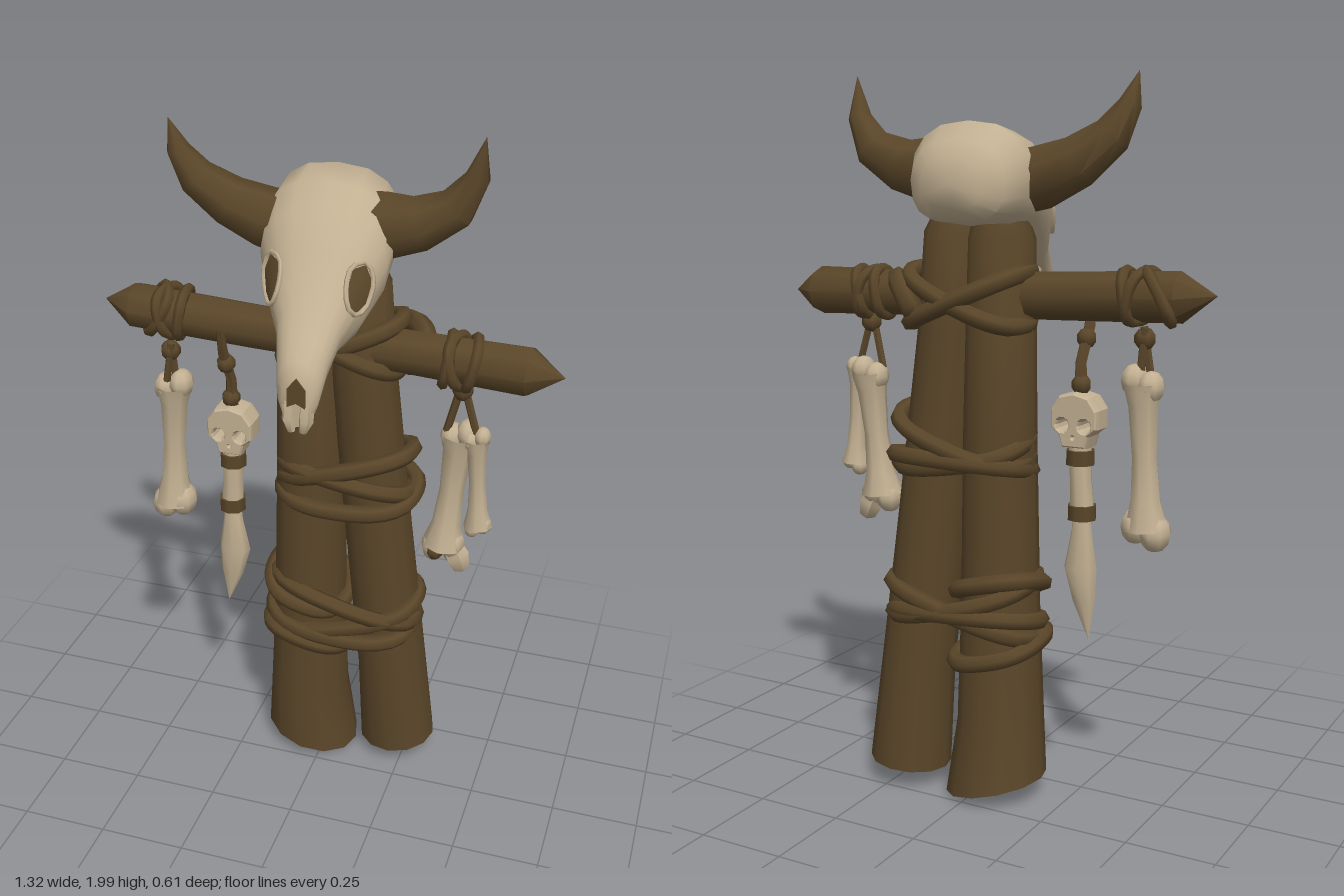
import * as THREE from 'three';
import { toCreasedNormals } from 'three/addons/utils/BufferGeometryUtils.js';

const wood = new THREE.MeshStandardMaterial({ color: 0x5a4629 });
wood.name = 'dark wood';
const bone = new THREE.MeshStandardMaterial({ color: 0xc2b092 });
bone.name = 'old bone';

const vec = (p) => new THREE.Vector3(...p);

function add(parent, name, geometry, material) {
  const mesh = new THREE.Mesh(geometry, material);
  mesh.name = name;
  parent.add(mesh);
  return mesh;
}

// Skin a list of equal-length rings of points
function loft(rings, crease = 0.9) {
  const n = rings[0].length, index = [];
  for (let i = 0; i < rings.length - 1; i++) {
    for (let j = 0; j < n; j++) {
      const a = i * n + j, b = i * n + (j + 1) % n;
      index.push(a, b, a + n, b, b + n, a + n);
    }
  }
  const g = new THREE.BufferGeometry().setFromPoints(rings.flat());
  g.setIndex(index);
  return toCreasedNormals(g, crease);
}

// Limb through [x, y, z, radius] stations
function limb(stations, sides = 10, crease = 0.9) {
  const pts = stations.map((s) => vec(s.slice(0, 3)));
  return loft(pts.map((p, i) => {
    const t = pts[Math.min(i + 1, pts.length - 1)].clone().sub(pts[Math.max(i - 1, 0)]).normalize();
    const u = new THREE.Vector3(0, 0, 1).cross(t).normalize();
    const v = t.clone().cross(u);
    return Array.from({ length: sides }, (_, k) => {
      const a = k / sides * Math.PI * 2, r = stations[i][3];
      return p.clone().addScaledVector(u, r * Math.cos(a)).addScaledVector(v, r * Math.sin(a));
    });
  }), crease);
}

const soft = (v, e) => Math.sign(v) * Math.abs(v) ** e;

// Closed rope loop spanned by two half-axes
function ropeLoop(parent, name, center, u, v, r = 0.025) {
  const pts = Array.from({ length: 16 }, (_, k) => {
    const a = k / 16 * Math.PI * 2;
    return vec(center).addScaledVector(vec(u), soft(Math.cos(a), 0.8)).addScaledVector(vec(v), soft(Math.sin(a), 0.8));
  });
  add(parent, name, new THREE.TubeGeometry(new THREE.CatmullRomCurve3(pts, true), 32, r, 6, true), wood);
}

// Long bone with two knuckles at each end
function longBone(parent, name, top, bottom, r, topKnob, bottomKnob) {
  const g = new THREE.Group();
  g.name = name;
  const a = vec(top), b = vec(bottom);
  const at = (t, k) => [...a.clone().lerp(b, t).toArray(), r * k];
  add(g, 'shaft', limb([at(0, 1.5), at(0.15, 1.15), at(0.5, 0.95), at(0.8, 1.15), at(1, 1.7)], 8, 2), bone);
  for (const [p, knob] of [[a, topKnob], [b, bottomKnob]]) {
    for (const s of [-1, 1]) {
      const k = add(g, 'knuckle', new THREE.SphereGeometry(knob, 8, 6), bone);
      k.position.copy(p).add(vec([s * knob * 0.65, s * 0.008, 0]));
      k.scale.set(1, 1.2, 1.2);
    }
  }
  parent.add(g);
}

// Skull sections: z, top y, bottom y, half width
const SECTIONS = [
  [-0.305, 1.7, 1.7, 0], [-0.295, 1.77, 1.64, 0.09], [-0.26, 1.815, 1.605, 0.14],
  [-0.19, 1.862, 1.595, 0.175], [-0.08, 1.845, 1.58, 0.182], [-0.01, 1.8, 1.52, 0.172],
  [0.07, 1.71, 1.47, 0.13], [0.16, 1.595, 1.46, 0.085], [0.225, 1.535, 1.41, 0.068],
  [0.272, 1.495, 1.345, 0.056], [0.292, 1.465, 1.325, 0.038], [0.294, 1.4, 1.4, 0],
];

// Rounded above, boxier below
function skullPoint(z, angle, grow = 1) {
  let i = 0;
  while (i < SECTIONS.length - 2 && SECTIONS[i + 1][0] < z) i++;
  const A = SECTIONS[i], B = SECTIONS[i + 1], t = (z - A[0]) / (B[0] - A[0]);
  const [, hi, lo, w] = A.map((q, k) => q + (B[k] - q) * t);
  const s = Math.sin(angle);
  return new THREE.Vector3(
    0.018 + z * 0.085 + w * grow * soft(Math.cos(angle), s < 0 ? 0.55 : 0.78),
    (hi + lo) / 2 + (hi - lo) / 2 * grow * (s < 0 ? soft(s, 0.8) : s), z);
}

function makeSkull() {
  const g = new THREE.Group();
  g.name = 'hornedSkull';
  const ring = (z) => Array.from({ length: 16 }, (_, k) => skullPoint(z, k / 16 * Math.PI * 2));
  add(g, 'cranium', loft(SECTIONS.map((s) => ring(s[0])), 0.8), bone);

  // Eye sockets follow the surface of the skull, with a low rim
  for (const base of [0.42, Math.PI - 0.42]) {
    const hex = (k) => Array.from({ length: 7 }, (_, j) => {
      const a = -j / 7 * Math.PI * 2;
      return skullPoint(0.085 + 0.038 * k * Math.cos(a), base + 0.42 * k * Math.sin(a), 1.055);
    });
    add(g, 'eyeSocket', loft([hex(1), hex(0.55), hex(0)], 2), wood);
    add(g, 'eyeRim', new THREE.TubeGeometry(new THREE.CatmullRomCurve3(hex(1.1), true), 14, 0.007, 5, true), bone);
  }

  // Nose opening
  const nose = new THREE.Shape([[0, 0.05], [0.024, 0.02], [0.024, -0.03], [0, -0.018], [-0.024, -0.03], [-0.024, 0.02]]
    .map((p) => new THREE.Vector2(...p)));
  add(g, 'noseOpening', new THREE.ExtrudeGeometry(nose, { depth: 0.006, bevelEnabled: false }), wood).position.set(0.044, 1.41, 0.292);

  // Muzzle prongs and cheek teeth
  for (const s of [-1, 1]) {
    const x = 0.044 + s * 0.022;
    add(g, 'muzzleProng', limb([[x, 1.4, 0.272, 0.022], [x, 1.34, 0.285, 0.02], [x - s * 0.006, 1.31, 0.29, 0.01], [x, 1.305, 0.29, 0]], 6), bone);
    const tooth = add(g, 'cheekTeeth', new THREE.BoxGeometry(0.022, 0.08, 0.06), bone);
    tooth.position.set(0.032 + s * 0.045, 1.475, 0.15);
    tooth.rotation.x = 0.3;
  }

  // Horns
  add(g, 'hornLeft', limb([[0.1, 1.73, -0.11, 0.09], [0.17, 1.735, -0.11, 0.088], [0.25, 1.747, -0.115, 0.073],
    [0.34, 1.795, -0.122, 0.056], [0.39, 1.88, -0.115, 0.033], [0.41, 1.99, -0.095, 0]], 7, 1), wood);
  add(g, 'hornRight', limb([[-0.1, 1.71, -0.1, 0.09], [-0.17, 1.72, -0.1, 0.085], [-0.27, 1.76, -0.09, 0.07],
    [-0.355, 1.825, -0.07, 0.053], [-0.395, 1.9, -0.055, 0.032], [-0.412, 1.985, -0.04, 0]], 7, 1), wood);
  return g;
}

// Hanging dagger with a small pierced skull
function makeDagger() {
  const g = new THREE.Group();
  g.name = 'skullDagger';
  const head = new THREE.Shape([[-0.03, -0.065], [0.03, -0.065], [0.038, -0.035], [0.062, -0.015], [0.062, 0.03], [0.04, 0.062],
    [0, 0.072], [-0.04, 0.062], [-0.062, 0.03], [-0.062, -0.015], [-0.038, -0.035]].map((p) => new THREE.Vector2(...p)));
  for (const s of [-1, 1]) head.holes.push(new THREE.Path().absarc(s * 0.032, -0.01, 0.023, 0, Math.PI * 2, true));
  head.holes.push(new THREE.Path().absarc(0, -0.042, 0.008, 0, Math.PI * 2, true));
  add(g, 'smallSkull', new THREE.ExtrudeGeometry(head, { depth: 0.045, curveSegments: 5, bevelSize: 0.006, bevelThickness: 0.02, bevelSegments: 2 }), bone)
    .position.set(-0.278, 1.085, -0.115);
  add(g, 'handle', limb([[-0.28, 1.03, -0.09, 0.033], [-0.283, 0.92, -0.09, 0.031], [-0.288, 0.82, -0.09, 0.035]], 8), bone);
  for (const [x, y] of [[-0.281, 0.985], [-0.287, 0.835]]) {
    const band = add(g, 'handleBand', new THREE.CylinderGeometry(0.04, 0.04, 0.04, 8), wood);
    band.position.set(x, y, -0.09);
  }
  const blade = add(g, 'blade', limb([[-0.287, 0.83, 0, 0.026], [-0.287, 0.78, 0, 0.03], [-0.284, 0.68, 0, 0.048],
    [-0.295, 0.59, 0, 0.034], [-0.31, 0.48, 0, 0]], 8), bone);
  blade.scale.z = 0.6;
  blade.position.z = -0.09;
  add(g, 'cord', limb([[-0.285, 1.41, -0.03, 0.012], [-0.285, 1.33, -0.05, 0.016], [-0.28, 1.24, -0.09, 0.016], [-0.28, 1.14, -0.09, 0.02]], 6), wood);
  for (const y of [1.3, 1.18]) {
    const knot = add(g, 'knot', new THREE.SphereGeometry(0.028, 7, 5), wood);
    knot.position.set(-0.282, y, y > 1.2 ? -0.06 : -0.09);
  }
  return g;
}

export function createModel() {
  const root = new THREE.Group();
  root.name = 'skullTotem';

  // Two leaning posts with slanted, flared feet
  const postRight = add(root, 'postRight', limb([[-0.05, 0.035, -0.138, 0], [-0.05, 0.04, -0.138, 0.142], [-0.058, 0.22, -0.125, 0.122],
    [-0.05, 0.55, -0.112, 0.11], [-0.045, 1, -0.105, 0.102], [-0.047, 1.56, -0.1, 0.092], [-0.047, 1.62, -0.1, 0.07], [-0.047, 1.63, -0.1, 0]], 12), wood);
  const foot = postRight.geometry.attributes.position;
  for (let i = 0; i < foot.count; i++) {
    if (foot.getY(i) < 0.1) foot.setY(i, Math.max(0, 0.035 - (foot.getX(i) + 0.05) * 0.24));
  }
  add(root, 'postLeft', limb([[0.222, 0.055, -0.158, 0], [0.222, 0.057, -0.158, 0.116], [0.2, 0.35, -0.145, 0.105],
    [0.155, 0.8, -0.125, 0.099], [0.11, 1.3, -0.1, 0.093], [0.092, 1.57, -0.1, 0.088], [0.09, 1.63, -0.1, 0.06], [0.09, 1.64, -0.1, 0]], 12), wood);

  // Crossbar with pointed ends
  add(root, 'crossbar', limb([[-0.66, 1.43, -0.105, 0], [-0.565, 1.423, -0.103, 0.066], [-0.2, 1.41, -0.09, 0.064],
    [0.2, 1.4, -0.08, 0.062], [0.565, 1.393, -0.065, 0.068], [0.66, 1.39, -0.06, 0]], 8, 0.8), wood);

  // Lashings round the posts: center, half-axes
  const lashings = [
    [[0.06, 1.02, -0.12], [0.185, 0.06, 0], [0, 0.02, 0.125]],
    [[0.065, 0.945, -0.12], [0.195, 0.005, 0], [0, -0.025, 0.132]],
    [[0.06, 0.98, -0.12], [0.185, -0.03, 0], [0, 0.03, 0.122]],
    [[0.06, 0.57, -0.125], [0.21, -0.055, 0], [0, 0.025, 0.13]],
    [[0.06, 0.53, -0.125], [0.215, 0.06, 0], [0, -0.02, 0.128]],
    [[0.05, 0.51, -0.125], [0.215, -0.01, 0], [0, -0.03, 0.134]],
    [[-0.05, 0.43, -0.115], [0.12, -0.03, 0], [0, 0.02, 0.117]],
    [[-0.05, 0.6, -0.115], [0.115, -0.03, 0], [0, -0.03, 0.112]],
    [[0.04, 1.4, -0.12], [0.165, 0.07, 0], [0, 0.01, 0.12]],
    [[0.04, 1.4, -0.12], [0.165, -0.07, 0], [0, 0.01, 0.125]],
  ];
  for (const [c, u, v] of lashings) ropeLoop(root, 'postLashing', c, u, v);

  // Loops round the crossbar: x, sideways slant
  for (const [x, slant] of [[-0.5, 0.035], [-0.455, -0.015], [-0.42, 0.01], [0.345, 0.01], [0.38, -0.015], [0.41, 0.015]]) {
    ropeLoop(root, 'barLashing', [x, 1.41 - (x + 0.1) * 0.03, -0.085 + x * 0.035], [slant, 0, 0.066], [slant, 0.064, 0], 0.016);
  }
  ropeLoop(root, 'barLashing', [0.22, 1.395, -0.15], [0.05, 0, 0.08], [0.03, 0.05, 0], 0.03);

  root.add(makeSkull(), makeDagger());

  // Hanging bones and their cords
  longBone(root, 'boneRight', [-0.457, 1.195, -0.09], [-0.473, 0.81, -0.09], 0.036, 0.036, 0.042);
  longBone(root, 'boneLeftLarge', [0.385, 1.165, -0.095], [0.355, 0.815, -0.085], 0.036, 0.034, 0.038);
  longBone(root, 'boneLeftSmall', [0.435, 1.17, -0.075], [0.452, 0.895, -0.08], 0.024, 0.024, 0.024);
  add(root, 'boneShard', limb([[0.415, 0.73, -0.085, 0], [0.41, 0.745, -0.085, 0.026], [0.395, 0.785, -0.085, 0.038], [0.36, 0.85, -0.085, 0.025]], 6), bone);
  add(root, 'boneHollow', new THREE.SphereGeometry(0.024, 6, 5), wood).position.set(0.338, 0.805, -0.052);
  const cords = [[[-0.46, 1.34, -0.09], [-0.45, 1.22, -0.09]], [[-0.445, 1.34, -0.06], [-0.465, 1.22, -0.06]],
    [[0.39, 1.34, -0.07], [0.35, 1.18, -0.08]], [[0.39, 1.34, -0.07], [0.435, 1.18, -0.075]]];
  for (const [a, b] of cords) add(root, 'cord', limb([[...a, 0.011], [...b, 0.011]], 6), wood);
  for (const [x, y] of [[-0.455, 1.31], [0.39, 1.31]]) {
    add(root, 'cordKnot', new THREE.SphereGeometry(0.03, 7, 5), wood).position.set(x, y, -0.075);
  }
  return root;
}
